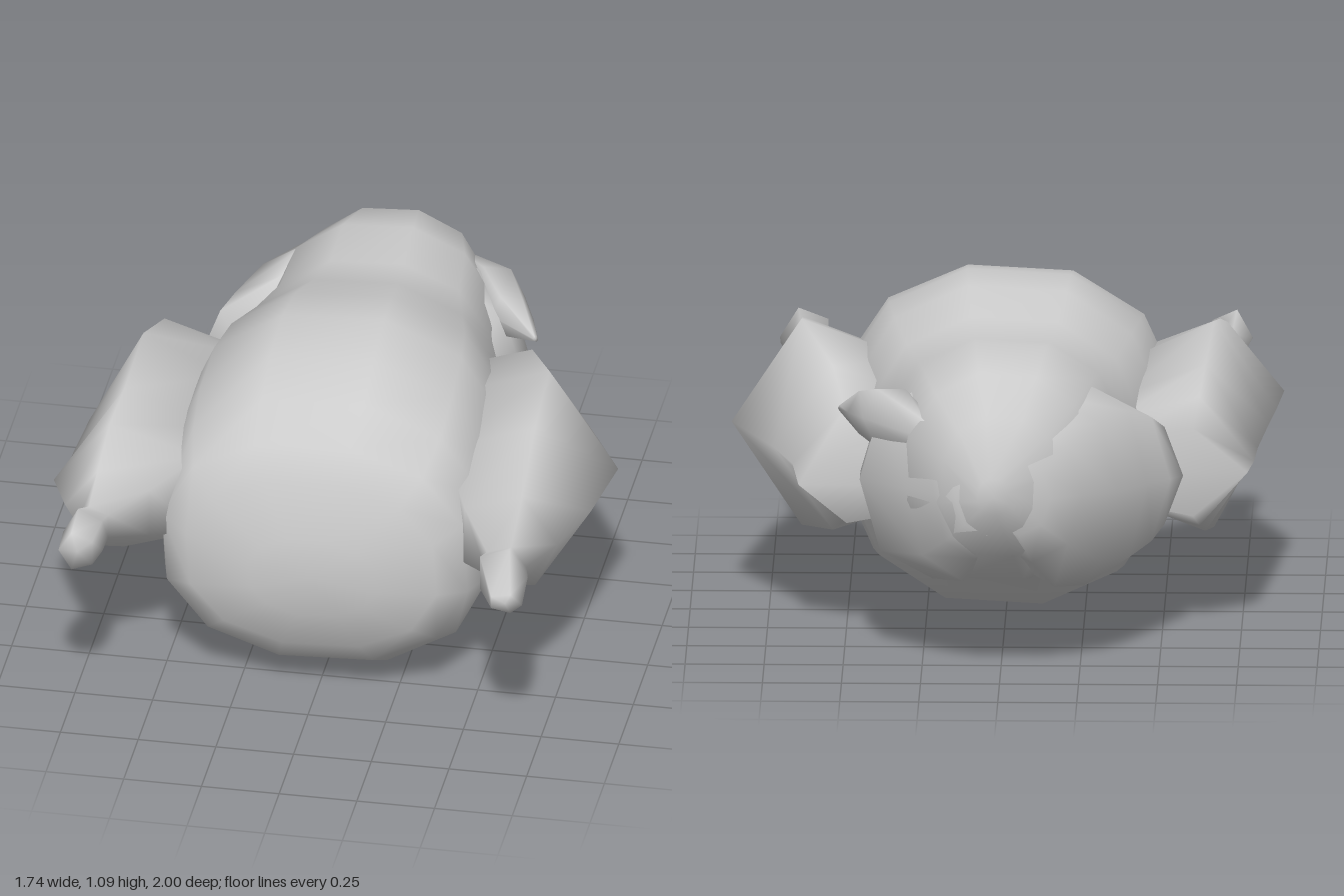
import * as THREE from 'three';

const material = new THREE.MeshStandardMaterial({ color: 0xcccccc });

// Smooth skin over rounded cross-sections [z, cx, cy, rx, ry], listed from back to front.
// A power below 1 makes the sections boxier; turn rotates their corners around the section.
function loft(name, rings, sides, power = 1, turn = 0) {
  const pos = [], index = [];
  const bend = (v) => Math.sign(v) * Math.abs(v) ** power;
  for (const [z, cx, cy, rx, ry] of rings) {
    for (let j = 0; j < sides; j++) {
      const a = turn + (j / sides) * Math.PI * 2;
      pos.push(cx + rx * bend(Math.cos(a)), cy + ry * bend(Math.sin(a)), z);
    }
  }
  const last = rings.length - 1, back = rings.length * sides, front = back + 1;
  for (const [z, cx, cy] of [rings[0], rings[last]]) pos.push(cx, cy, z);
  for (let j = 0; j < sides; j++) {
    const k = (j + 1) % sides;
    for (let i = 0; i < last; i++) {
      const a = i * sides + j, b = i * sides + k;
      index.push(a, b, b + sides, a, b + sides, a + sides);
    }
    index.push(back, k, j, front, last * sides + j, last * sides + k);
  }
  const geo = new THREE.BufferGeometry();
  geo.setAttribute('position', new THREE.Float32BufferAttribute(pos, 3));
  geo.setIndex(index);
  geo.computeVertexNormals();
  const mesh = new THREE.Mesh(geo, material);
  mesh.name = name;
  return mesh;
}

export function createModel() {
  const model = new THREE.Group();
  model.name = 'roastBird';

  // Plump body, slightly lopsided, narrow at the back and broad at the front
  model.add(loft('body', [
    [-1.0, 0.02, 0.62, 0.05, 0.06],
    [-0.94, 0, 0.64, 0.19, 0.23],
    [-0.8, 0, 0.64, 0.3, 0.34],
    [-0.6, 0, 0.645, 0.37, 0.39],
    [-0.42, 0, 0.62, 0.39, 0.385],
    [-0.25, 0, 0.58, 0.45, 0.455],
    [-0.07, 0, 0.57, 0.51, 0.525],
    [0.1, 0, 0.565, 0.54, 0.545],
    [0.3, 0, 0.54, 0.55, 0.535],
    [0.46, 0, 0.525, 0.54, 0.48],
    [0.58, -0.01, 0.51, 0.5, 0.395],
    [0.64, -0.01, 0.5, 0.41, 0.3],
    [0.69, 0, 0.48, 0.21, 0.14],
  ], 12, 0.88, -0.19));

  // Legs: broad thigh sloping into the body, thin shank and a flared bone end
  model.add(loft('leftLeg', [
    [-0.34, 0.43, 0.5, 0.22, 0.13],
    [-0.3, 0.43, 0.56, 0.24, 0.19],
    [-0.21, 0.46, 0.59, 0.27, 0.28],
    [0.06, 0.55, 0.61, 0.32, 0.352],
    [0.32, 0.57, 0.6, 0.26, 0.305],
    [0.6, 0.61, 0.635, 0.165, 0.17],
    [0.79, 0.64, 0.655, 0.07, 0.072],
    [0.9, 0.65, 0.685, 0.085, 0.1],
    [1.0, 0.68, 0.64, 0.055, 0.035],
  ], 5));
  model.add(loft('rightLeg', [
    [-0.31, -0.52, 0.54, 0.25, 0.15],
    [-0.28, -0.54, 0.57, 0.25, 0.22],
    [-0.18, -0.56, 0.59, 0.24, 0.285],
    [0.06, -0.58, 0.61, 0.25, 0.352],
    [0.32, -0.59, 0.6, 0.26, 0.305],
    [0.47, -0.61, 0.62, 0.26, 0.235],
    [0.65, -0.65, 0.64, 0.15, 0.14],
    [0.79, -0.68, 0.66, 0.055, 0.07],
    [0.9, -0.69, 0.69, 0.07, 0.095],
    [0.98, -0.7, 0.67, 0.06, 0.07],
  ], 5, 1, Math.PI));

  // Folded wings swelling smoothly out of the back
  model.add(loft('leftWing', [
    [-0.97, 0.04, 0.61, 0.1, 0.12],
    [-0.92, 0.08, 0.61, 0.13, 0.21],
    [-0.8, 0.12, 0.6, 0.18, 0.3],
    [-0.64, 0.22, 0.59, 0.23, 0.32],
    [-0.52, 0.24, 0.59, 0.21, 0.28],
    [-0.3, 0.22, 0.6, 0.14, 0.14],
  ], 8, 0.95));
  model.add(loft('rightWing', [
    [-0.97, -0.06, 0.61, 0.1, 0.12],
    [-0.92, -0.1, 0.61, 0.16, 0.22],
    [-0.79, -0.17, 0.59, 0.2, 0.31],
    [-0.64, -0.26, 0.58, 0.2, 0.33],
    [-0.53, -0.32, 0.57, 0.21, 0.28],
    [-0.48, -0.36, 0.57, 0.21, 0.22],
    [-0.44, -0.32, 0.58, 0.1, 0.12],
  ], 8, 0.95));

  // Pointed flap on the left wing
  model.add(loft('leftWingTip', [
    [-0.82, 0.22, 0.77, 0.03, 0.06],
    [-0.64, 0.35, 0.79, 0.09, 0.11],
    [-0.52, 0.42, 0.78, 0.07, 0.08],
    [-0.42, 0.515, 0.77, 0.008, 0.01],
  ], 6));

  return model;
}
